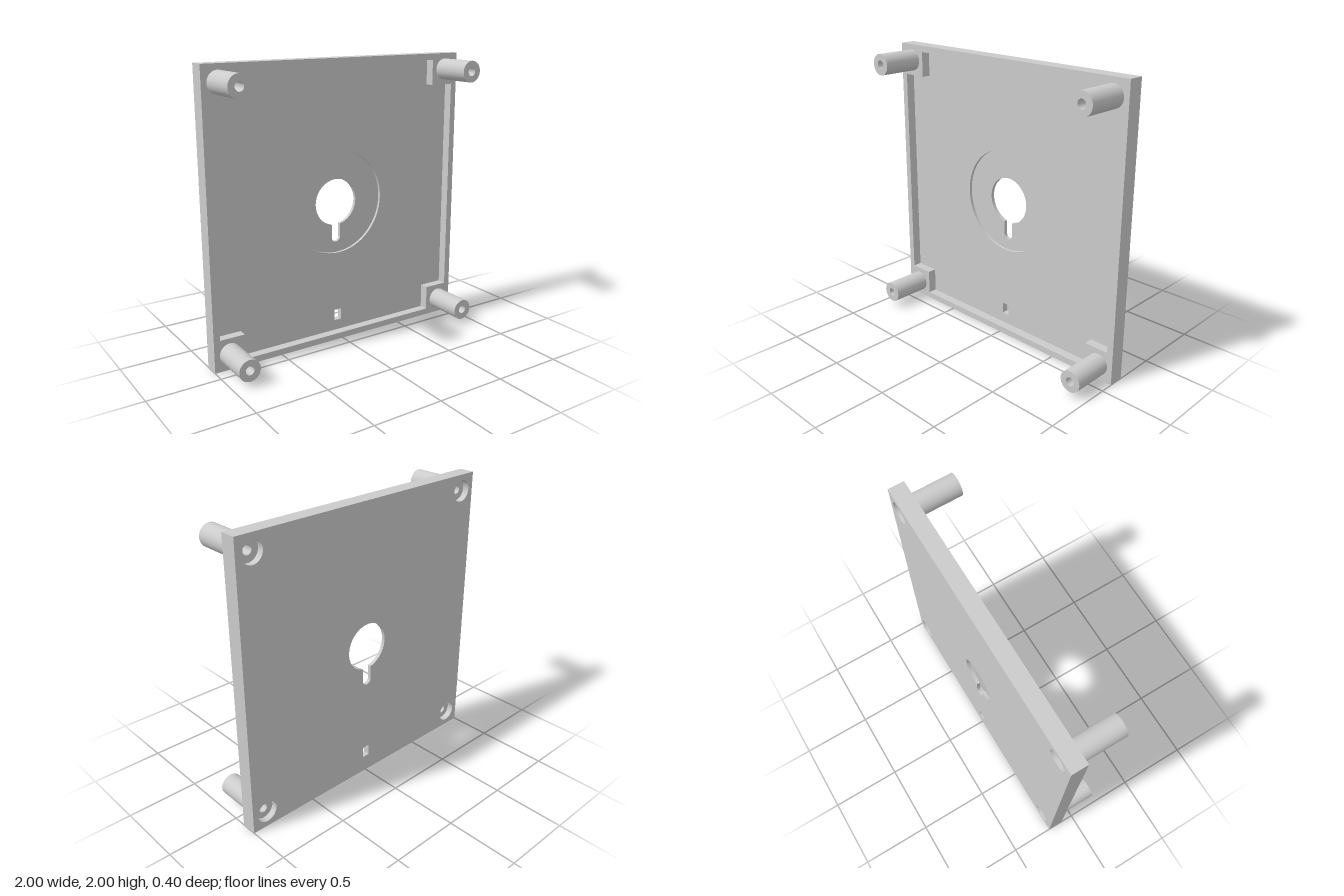
import * as THREE from 'three';
import { toCreasedNormals } from 'three/addons/utils/BufferGeometryUtils.js';

const material = new THREE.MeshStandardMaterial({ color: 0xcccccc });

// Depth levels from the back face to the post tips
const BACK = -0.2, RECESS = -0.175, FLOOR = -0.155, RIM = -0.09, TIP = 0.2;
const POST = 0.887; // post offset from the plate centre
const corners = [[-1, -1], [1, -1], [1, 1], [-1, 1]].map(([x, y]) => [x * POST, y * POST]);

function circle(x, y, r, Type = THREE.Path) {
  return new Type().absarc(x, y, r, 0, Math.PI * 2);
}

function polygon(points, Type = THREE.Path) {
  return new Type(points.map(([x, y]) => new THREE.Vector2(x, y)));
}

function rect(x, y, w, h, Type) {
  return polygon([[x - w, y - h], [x + w, y - h], [x + w, y + h], [x - w, y + h]], Type);
}

// Extrudes an outline with holes between two depths
function layer(name, outline, holes, z0, z1) {
  outline.holes.push(...holes);
  const geometry = new THREE.ExtrudeGeometry(outline, {
    depth: z1 - z0, bevelEnabled: false, curveSegments: 48,
  });
  geometry.translate(0, 0, z0);
  const mesh = new THREE.Mesh(toCreasedNormals(geometry, 0.5), material);
  mesh.name = name;
  return mesh;
}

// Round opening with a round-ended slot running down from it
function keyhole() {
  const r = 0.165, w = 0.035, a = Math.asin(w / r);
  const path = new THREE.Path();
  path.absarc(0, 0, r, -Math.PI / 2 + a, Math.PI * 1.5 - a, false);
  path.lineTo(-w, -0.255);
  path.absarc(0, -0.255, w, Math.PI, Math.PI * 2, false);
  path.closePath();
  return path;
}

// Cavity outline, notched at the corners to leave the post blocks
function cavity() {
  const o = 0.955, i = 0.777;
  return polygon([
    [-i, -o], [i, -o], [i, -i], [o, -i], [o, i], [i, i],
    [i, o], [-i, o], [-i, i], [-o, i], [-o, -i], [-i, -i],
  ]);
}

export function createModel() {
  const group = new THREE.Group();
  group.name = 'mountingPlate';
  const body = new THREE.Group();
  body.position.y = 1;
  group.add(body);

  const plate = () => rect(0, 0, 1, 1, THREE.Shape);
  const window = () => rect(0, -0.84, 0.028, 0.04);
  const cornerHoles = (r) => corners.map(([x, y]) => circle(x, y, r));

  // Panel: back skin with the keyhole, then the floor around the round recess
  body.add(layer('backPanel', plate(), [keyhole(), window(), ...cornerHoles(0.075)], BACK, RECESS));
  body.add(layer('recessedFloor', plate(), [circle(0, 0, 0.367), window(), ...cornerHoles(0.075)], RECESS, FLOOR));

  // Raised rim with corner blocks
  body.add(layer('rim', plate(), [cavity(), ...cornerHoles(0.03)], FLOOR, RIM));

  // Hollow corner posts
  for (const [x, y] of corners) {
    body.add(layer('post', circle(x, y, 0.075, THREE.Shape), [circle(x, y, 0.03)], RIM, TIP));
  }
  return group;
}
